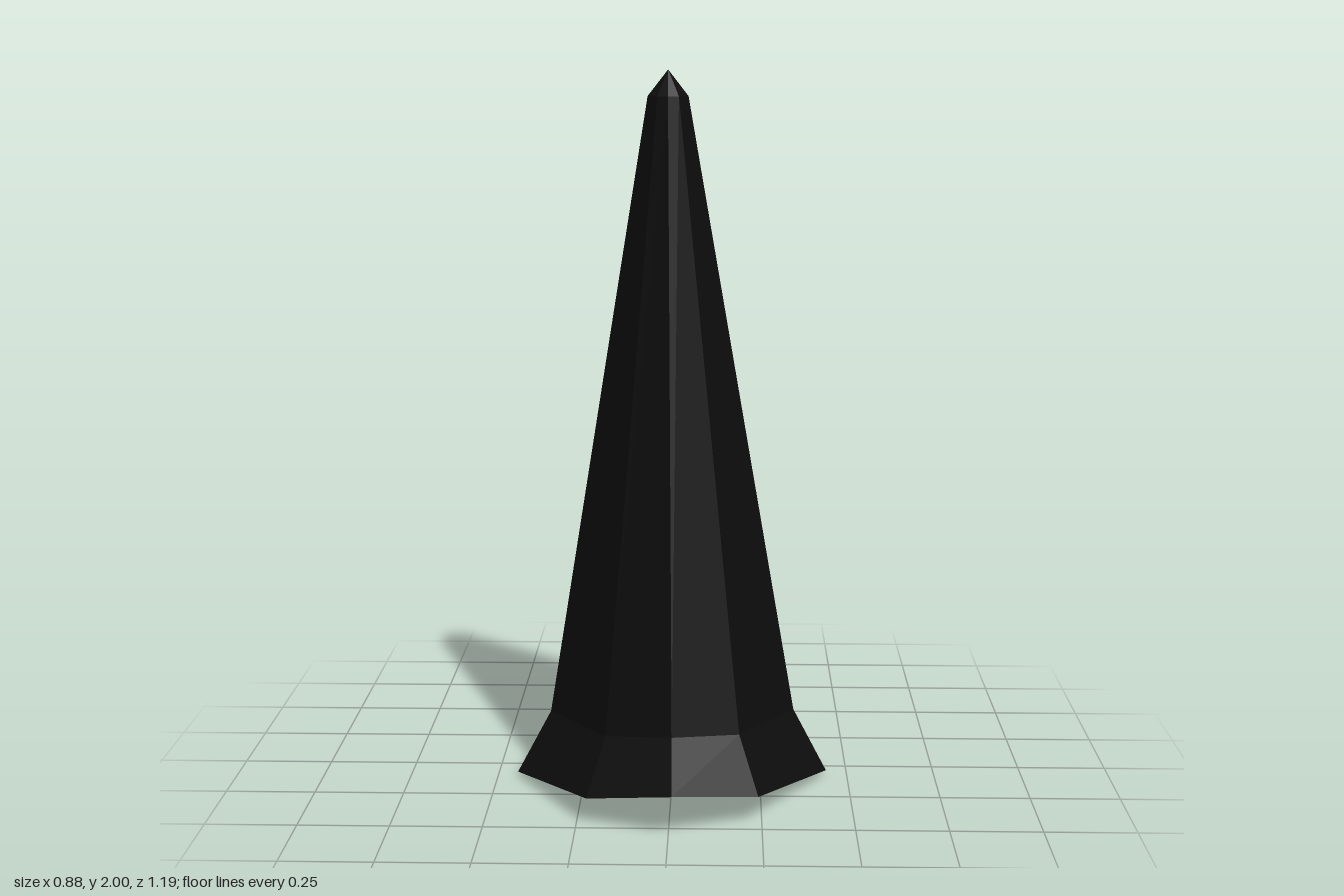
import * as THREE from 'three';

export function createModel() {
  const model = new THREE.Group();
  model.name = 'spire';
  const black = new THREE.MeshStandardMaterial({ color: 0x0d0d0d, flatShading: true, side: THREE.DoubleSide });
  black.name = 'black';

  // uneven eight-sided hem, from the front round by +x
  const hem = [
    [0.01, 0.125, 0.592], [0.24, 0.08, 0.465], [0.44, 0.018, 0.08], [0.262, 0.005, -0.51],
    [-0.02, 0.042, -0.595], [-0.298, 0.002, -0.495], [-0.443, 0.013, 0.1], [-0.222, 0.075, 0.475],
  ];
  // waist where the flare meets the cone
  const waistY = [0.25, 0.225, 0.195, 0.175, 0.205, 0.17, 0.19, 0.22];
  const waist = hem.map(([x, , z], i) => [x * 0.785, waistY[i], z * (z > 0 ? 0.815 : 0.85)]);
  // small shoulder below the tip
  const shoulder = hem.map(([x, , z]) => [-0.01 + x * 0.124, 1.93, 0.14 + z * 0.118]);
  const tip = hem.map(() => [-0.01, 2, 0.15]);

  // faceted band between two rings
  function band(name, lower, upper) {
    const pos = [];
    lower.forEach((a, i) => {
      const j = (i + 1) % lower.length;
      pos.push(...a, ...lower[j], ...upper[j]);
      if (upper !== tip) pos.push(...a, ...upper[j], ...upper[i]);
    });
    const geometry = new THREE.BufferGeometry();
    geometry.setAttribute('position', new THREE.Float32BufferAttribute(pos, 3));
    geometry.computeVertexNormals();
    const mesh = new THREE.Mesh(geometry, black);
    mesh.name = name;
    model.add(mesh);
  }
  band('flaredBase', hem, waist);
  band('leaningCone', waist, shoulder);
  band('pointedTip', shoulder, tip);
  return model;
}
